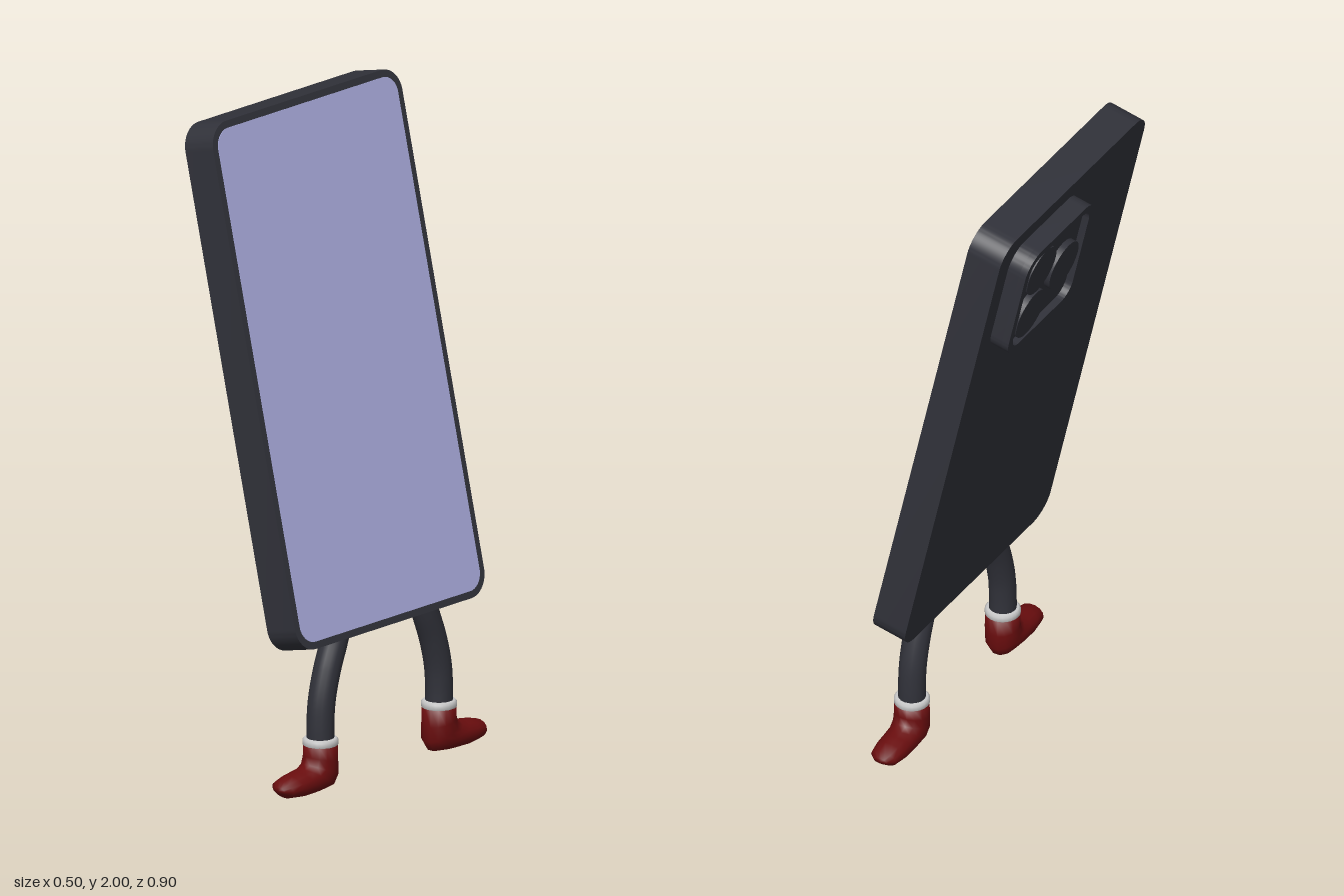
import * as THREE from 'three';
import { toCreasedNormals } from 'three/addons/utils/BufferGeometryUtils.js';

const mat = (name, color, side = THREE.FrontSide) => {
  const m = new THREE.MeshStandardMaterial({ color, side });
  m.name = name;
  return m;
};

// Rounded rectangle centred on the origin
function roundRect(w, h, r, Type = THREE.Shape) {
  const s = new Type(), x = w / 2, y = h / 2;
  s.moveTo(-x + r, -y);
  s.lineTo(x - r, -y);
  s.absarc(x - r, -y + r, r, -Math.PI / 2, 0);
  s.lineTo(x, y - r);
  s.absarc(x - r, y - r, r, 0, Math.PI / 2);
  s.lineTo(-x + r, y);
  s.absarc(-x + r, y - r, r, Math.PI / 2, Math.PI);
  s.lineTo(-x, -y + r);
  s.absarc(-x + r, -y + r, r, Math.PI, Math.PI * 1.5);
  return s;
}

// Slab with its outline in the z-y plane, running from x0 to x1
function slab(shape, x0, x1) {
  const g = new THREE.ExtrudeGeometry(shape, { depth: x1 - x0, bevelEnabled: false, curveSegments: 8 });
  g.translate(0, 0, x0);
  g.rotateY(Math.PI / 2);
  return toCreasedNormals(g, 0.5);
}

// Shoe skinned over rings, each given as [heelZ, heelY, instepZ, instepY, halfWidth]
function shoeGeometry() {
  const rings = [
    [0.212, 0.14, 0.315, 0.14, 0.052],
    [0.210, 0.085, 0.315, 0.108, 0.053],
    [0.208, 0.040, 0.324, 0.088, 0.053],
    [0.225, 0.010, 0.345, 0.080, 0.051],
    [0.290, 0.002, 0.370, 0.077, 0.050],
    [0.360, 0.001, 0.400, 0.072, 0.049],
    [0.420, 0.008, 0.435, 0.063, 0.042],
    [0.445, 0.026, 0.449, 0.047, 0.022],
  ];
  const n = 14, pos = [], idx = [];
  for (const [az, ay, bz, by, w] of rings) {
    for (let i = 0; i < n; i++) {
      const t = (i / n) * Math.PI * 2, k = (1 + Math.sin(t)) / 2;
      pos.push(w * Math.cos(t), ay + (by - ay) * k, az + (bz - az) * k);
    }
  }
  for (let r = 0; r < rings.length - 1; r++) {
    for (let i = 0; i < n; i++) {
      const a = r * n + i, b = r * n + (i + 1) % n;
      idx.push(a, b, a + n, b, b + n, a + n);
    }
  }
  // Toe tip and ankle lid
  const last = (rings.length - 1) * n;
  pos.push(0, 0.036, 0.45, 0, 0.14, 0.263);
  const tip = rings.length * n;
  for (let i = 0; i < n; i++) {
    const j = (i + 1) % n;
    idx.push(last + i, last + j, tip, j, i, tip + 1);
  }
  const g = new THREE.BufferGeometry();
  g.setAttribute('position', new THREE.Float32BufferAttribute(pos, 3));
  g.setIndex(idx);
  g.computeVertexNormals();
  return g;
}

export function createModel() {
  const charcoal = mat('charcoal', 0x31323a);
  const lavender = mat('lavender', 0xa9abdc);
  const red = mat('dark red', 0x6a0d0e, THREE.DoubleSide);
  const white = mat('cuff white', 0xc8c8c8);

  const model = new THREE.Group();
  model.name = 'walkingPhone';
  const add = (parent, name, geo, material, x = 0, y = 0, z = 0) => {
    const m = new THREE.Mesh(geo, material);
    m.name = name;
    m.position.set(x, y, z);
    parent.add(m);
    return m;
  };

  // Leaning phone, screen towards +x
  const phone = new THREE.Group();
  phone.name = 'phone';
  phone.position.set(0.0225, 1.2175, 0);
  phone.rotation.set(0.004, 0, 0.22);
  model.add(phone);
  add(phone, 'body', slab(roundRect(0.838, 1.583, 0.075), -0.056, 0.055), charcoal);
  add(phone, 'screen', slab(roundRect(0.795, 1.54, 0.055), 0.05, 0.057), lavender);

  // Camera block: base plate, raised rim and three sunken lenses
  const camera = new THREE.Group();
  camera.name = 'cameraBlock';
  camera.position.set(0, 0.547, -0.157);
  phone.add(camera);
  add(camera, 'cameraBase', slab(roundRect(0.394, 0.39, 0.07), -0.095, -0.05), charcoal);
  const rim = roundRect(0.394, 0.39, 0.07);
  rim.holes.push(roundRect(0.345, 0.341, 0.05, THREE.Path));
  add(camera, 'cameraRim', slab(rim, -0.117, -0.095), charcoal);
  for (const [y, z] of [[0.085, -0.08], [-0.085, -0.08], [0, 0.08]]) {
    const lens = new THREE.CylinderGeometry(0.08, 0.08, 0.026, 28);
    lens.rotateZ(Math.PI / 2);
    add(camera, 'lens', lens, charcoal, -0.101, y, z);
  }

  // Two legs, turned half round to face outwards on either side
  const legPath = new THREE.CatmullRomCurve3([
    [0.185, 0.49], [0.202, 0.44], [0.235, 0.355], [0.257, 0.27], [0.263, 0.2], [0.263, 0.14],
  ].map(([z, y]) => new THREE.Vector3(0, y, z)));
  const legGeo = new THREE.TubeGeometry(legPath, 20, 0.041, 16);
  const cuffGeo = new THREE.LatheGeometry([
    [0.03, -0.013], [0.047, -0.013], [0.053, -0.007], [0.053, 0.007], [0.047, 0.013], [0.03, 0.013],
  ].map(([x, y]) => new THREE.Vector2(x, y)), 24);
  const shoeGeo = shoeGeometry();
  for (const [name, turn] of [['leftLeg', 0], ['rightLeg', Math.PI]]) {
    const leg = new THREE.Group();
    leg.name = name;
    leg.position.x = 0.197;
    leg.rotation.y = turn;
    add(leg, 'shin', legGeo, charcoal);
    add(leg, 'cuff', cuffGeo, white, 0, 0.147, 0.263);
    add(leg, 'shoe', shoeGeo, red);
    model.add(leg);
  }
  return model;
}
